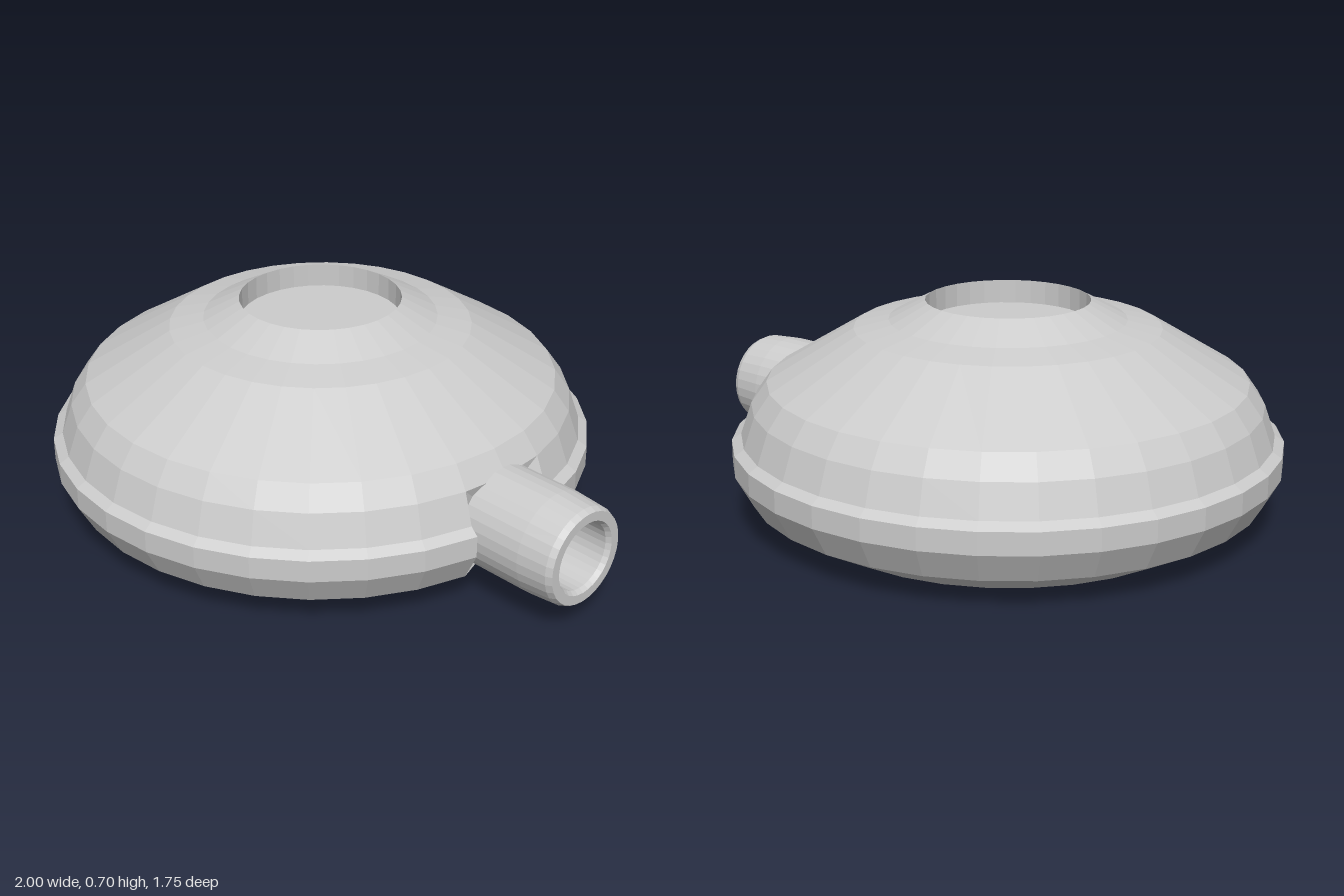
import * as THREE from 'three';

export function createModel() {
  const model = new THREE.Group();
  const material = new THREE.MeshStandardMaterial({
    color: 0xcccccc, flatShading: true, side: THREE.DoubleSide,
  });
  const SIDES = 32, STEP = (Math.PI * 2) / SIDES;
  const CX = -0.125; // axis of the round body
  const add = (name, geometry) => {
    const mesh = new THREE.Mesh(geometry, material);
    mesh.name = name;
    model.add(mesh);
    return mesh;
  };
  const lathe = (profile, segments = SIDES, start = 0, length = Math.PI * 2) =>
    new THREE.LatheGeometry(profile.map(p => new THREE.Vector2(...p)), segments, start, length);

  // Lower bowl with rim, leaving two segments open for the spout
  const lower = [[0.65, 0], [0.823, 0.095], [0.875, 0.19], [0.875, 0.26], [0.845, 0.28], [0.81, 0.38]];
  add('lowerBowl', lathe(lower, SIDES - 2, Math.PI / 2 + STEP, Math.PI * 2 - 2 * STEP)).position.x = CX;

  // Domed top with a shallow round well
  add('dome', lathe([[0.81, 0.38], [0.76, 0.45], [0.485, 0.615], [0.375, 0.64],
    [0.26, 0.7], [0.26, 0.625], [0, 0.625]])).position.x = CX;

  // Flat underside
  add('underside', lathe([[0, 0], [0.65, 0]])).position.x = CX;

  // Recess: a strip from the edge of the opening in to the spout
  const spoutY = 0.235, recessX = 0.66;
  const edge = (r, y, a) => [CX + r * Math.cos(a), y, r * Math.sin(a)];
  const border = [
    edge(0.65, 0, 0),
    ...lower.map(([r, y]) => edge(r, y, STEP)),
    edge(0.81, 0.38, 0),
    ...lower.map(([r, y]) => edge(r, y, -STEP)).reverse(),
  ];
  const inner = border.map(([, y, z]) => {
    const k = 0.14 / Math.hypot(y - spoutY, z);
    return [recessX, spoutY + (y - spoutY) * k, z * k];
  });
  const positions = [];
  border.forEach((a, i) => {
    const j = (i + 1) % border.length;
    positions.push(...a, ...inner[i], ...border[j], ...border[j], ...inner[i], ...inner[j]);
  });
  // Wind the strip so that it faces out along +x
  for (let i = 0; i < positions.length; i += 9) {
    const [a, b, c] = [0, 3, 6].map(o => new THREE.Vector3().fromArray(positions, i + o));
    if (b.clone().sub(a).cross(c.clone().sub(a)).x < 0) {
      b.toArray(positions, i + 6);
      c.toArray(positions, i + 3);
    }
  }
  const recess = new THREE.BufferGeometry();
  recess.setAttribute('position', new THREE.Float32BufferAttribute(positions, 3));
  recess.computeVertexNormals();
  add('spoutRecess', recess);

  // Hollow spout with a rounded lip, turned to point along +x
  const spout = add('spout', lathe([[0.165, 0.64], [0.165, 0.88], [0.157, 0.98], [0.148, 1],
    [0.118, 1], [0.108, 0.985], [0.108, 0.64]]));
  spout.rotation.z = -Math.PI / 2;
  spout.position.y = spoutY;

  return model;
}
